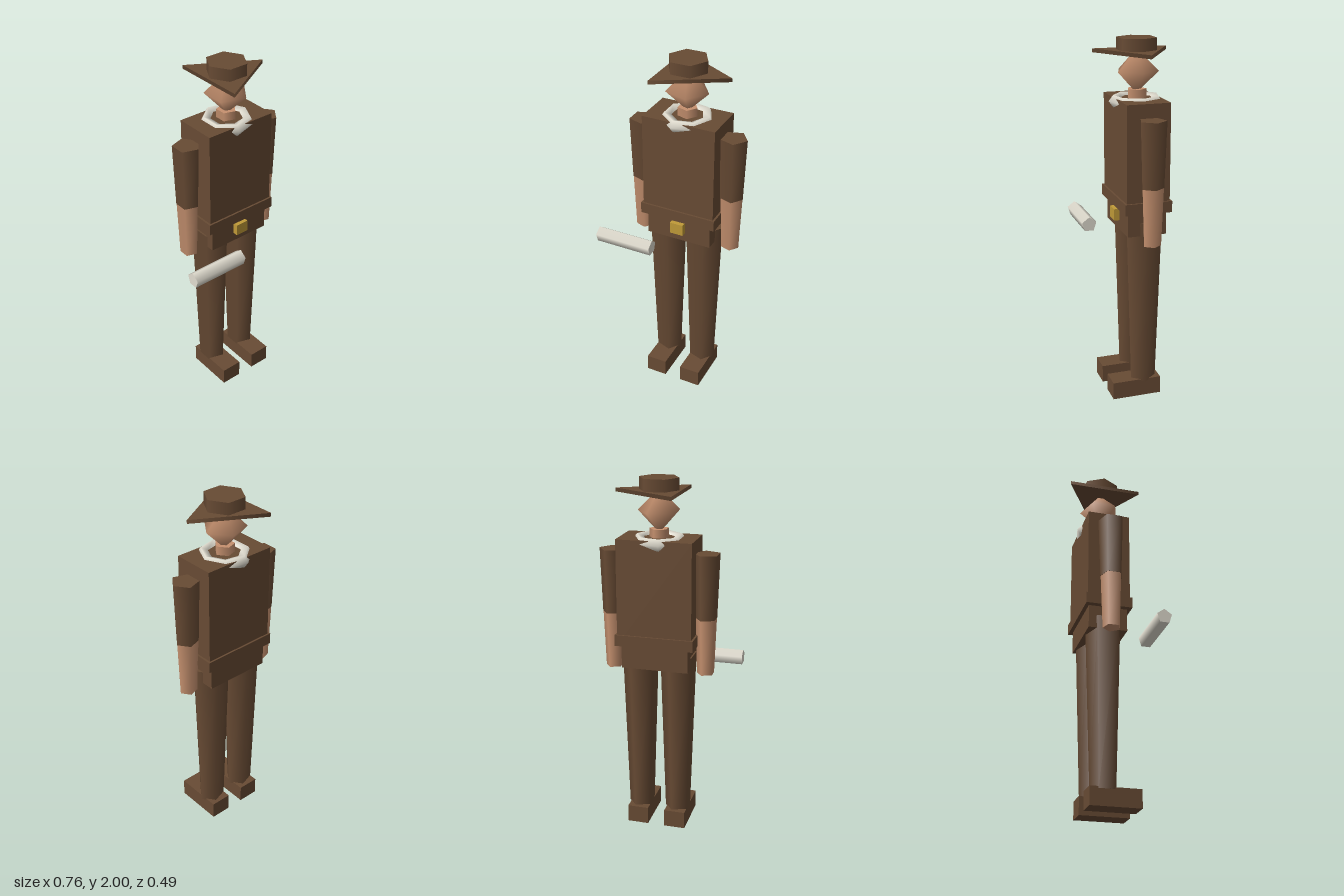
import * as THREE from 'three';

export function createModel() {
  const model = new THREE.Group();
  const material = (name, color) => {
    const m = new THREE.MeshStandardMaterial({ color });
    m.name = name;
    return m;
  };
  const brown = material('brown cloth', 0x684b34);
  const skin = material('skin', 0xc6916f);
  const white = material('off white', 0xe0dccf);
  const gold = material('gold', 0xc09a38);

  // The body axis sits slightly off the origin because of the baton
  const body = new THREE.Group();
  body.name = 'body';
  body.position.set(0.042, 0, -0.038);
  model.add(body);

  const add = (name, geometry, mat, x = 0, y = 0, z = 0, parent = body) => {
    const mesh = new THREE.Mesh(geometry, mat);
    mesh.name = name;
    mesh.position.set(x, y, z);
    parent.add(mesh);
    return mesh;
  };
  const box = (name, mat, w, y0, y1, d, x = 0, z = 0) =>
    add(name, new THREE.BoxGeometry(w, y1 - y0, d), mat, x, (y0 + y1) / 2, z);
  // Few-sided tapered column with one corner pointing to +x
  const column = (name, mat, rTop, rBottom, y0, y1, sides = 5, x = 0) =>
    add(name, new THREE.CylinderGeometry(rTop, rBottom, y1 - y0, sides).rotateY(Math.PI / 2),
      mat, x, (y0 + y1) / 2);

  // Hat
  column('hatCrown', brown, 0.109, 0.109, 1.935, 2, 6);
  column('hatBrim', brown, 0.24, 0.24, 1.915, 1.935, 3);

  // Head, neck and neckerchief
  add('head', new THREE.SphereGeometry(0.118, 5, 2).rotateY(Math.PI), skin, 0, 1.825);
  column('neck', skin, 0.054, 0.054, 1.64, 1.732);
  add('neckerchief', new THREE.TorusGeometry(0.114, 0.034, 5, 7).rotateX(Math.PI / 2), white, 0, 1.666);

  // Jacket, hips and buckle
  box('jacket', brown, 0.414, 1.1, 1.685, 0.239);
  box('jacketHem', brown, 0.437, 1.098, 1.16, 0.26);
  box('hips', brown, 0.373, 0.968, 1.098, 0.217);
  box('beltBuckle', gold, 0.076, 1.02, 1.085, 0.033, 0, 0.1215);

  // Limbs
  for (const [side, s] of [['left', 1], ['right', -1]]) {
    column(side + 'Sleeve', brown, 0.075, 0.063, 1.255, 1.61, 5, s * 0.2625);
    column(side + 'Forearm', skin, 0.0615, 0.05, 0.94, 1.255, 5, s * 0.2625);
    column(side + 'Leg', brown, 0.106, 0.075, 0.09, 1.04, 5, s * 0.109);
    box(side + 'Shoe', brown, 0.12, 0, 0.1, 0.278, s * 0.109, 0.047);
  }

  // Baton lying across, corner upwards
  const baton = new THREE.CylinderGeometry(0.043, 0.043, 0.327, 5)
    .rotateZ(Math.PI / 2).rotateX(-Math.PI / 2);
  add('baton', baton, white, -0.2185, 0.964, 0.204, model);

  return model;
}
